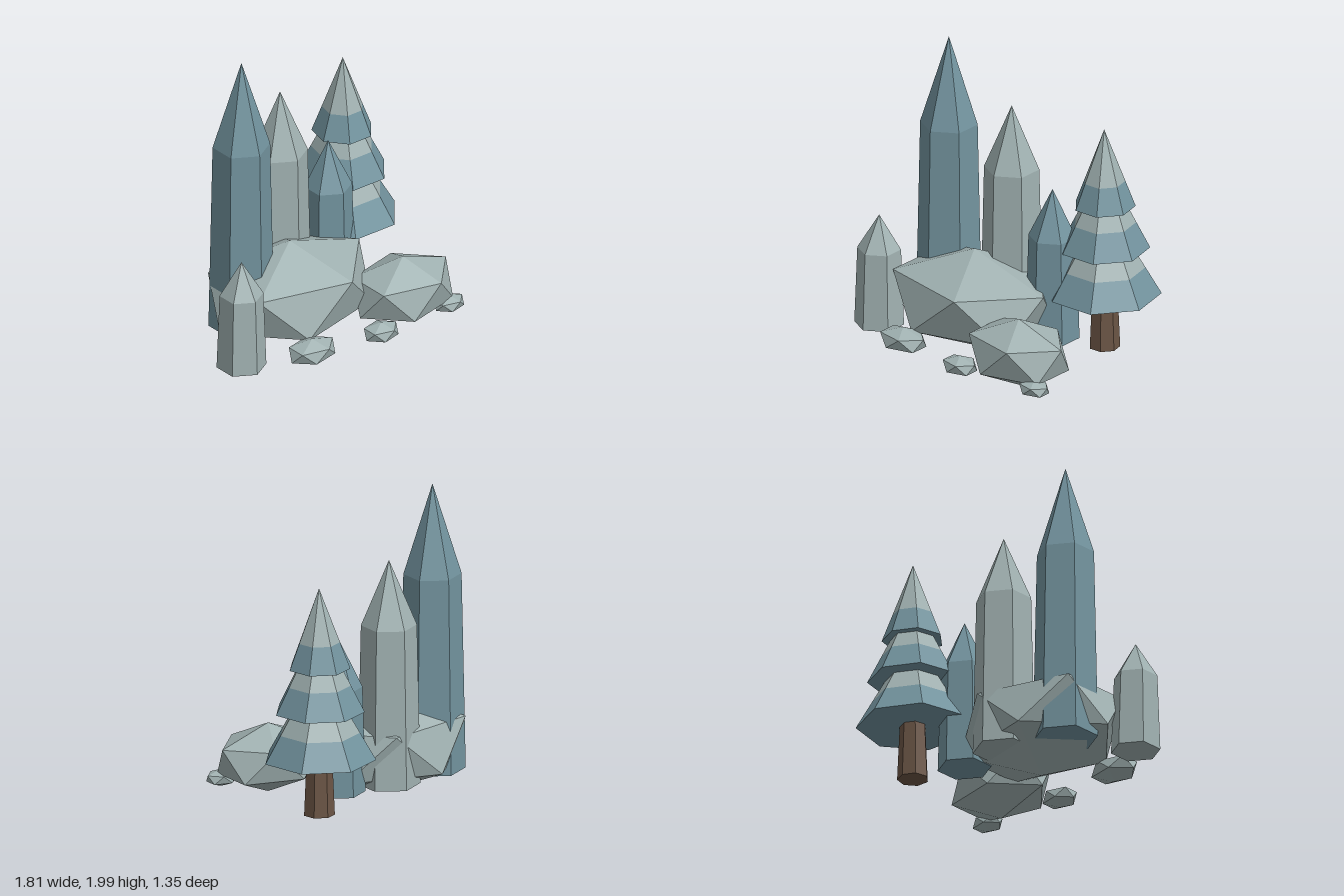
import * as THREE from 'three';

const flat = (name, color) => {
  const m = new THREE.MeshStandardMaterial({ color, flatShading: true });
  m.name = name;
  return m;
};

export function createModel() {
  const paleStone = flat('pale stone', 0xa1b2b2);
  const blueStone = flat('slate blue', 0x73949f);
  const bark = flat('bark brown', 0x6b5545);

  const model = new THREE.Group();
  model.name = 'rockGarden';

  const add = (parent, name, geometry, material, y = 0) => {
    const mesh = new THREE.Mesh(geometry, material);
    mesh.name = name;
    mesh.position.y = y;
    parent.add(mesh);
    return mesh;
  };

  const group = (name, x, z) => {
    const g = new THREE.Group();
    g.name = name;
    g.position.set(x, 0, z);
    model.add(g);
    return g;
  };

  // Boulders and pebbles: icosahedra stood on a corner and stretched
  const tilt = Math.atan(2 / (1 + Math.sqrt(5)));
  const rocks = [
    // name, centre x y z, radii x y z
    ['largeBoulder', -0.19, 0.34, 0.065, 0.626, 0.33, 0.485],
    ['smallBoulder', 0.45, 0.255, 0.402, 0.386, 0.225, 0.296],
    ['leftPebble', -0.385, 0.152, 0.53, 0.183, 0.083, 0.129],
    ['middlePebble', 0.125, 0.135, 0.588, 0.132, 0.066, 0.103],
    ['rightPebble', 0.7, 0.125, 0.553, 0.116, 0.056, 0.089],
  ];
  for (const [name, x, y, z, rx, ry, rz] of rocks) {
    const geometry = new THREE.IcosahedronGeometry(1, 0).rotateZ(-tilt).scale(rx, ry, rz);
    add(model, name, geometry, paleStone).position.set(x, y, z);
  }

  // Pillars: tapered six-sided shafts with pointed tips
  const pillars = [
    // name, x, z, base y, shoulder y, tip y, base radius, shoulder radius, material
    ['tallPillar', -0.49, -0.045, 0.135, 1.41, 2.0, 0.209, 0.183, blueStone],
    ['middlePillar', -0.08, -0.167, 0.135, 1.175, 1.6, 0.199, 0.176, paleStone],
    ['shortPillar', 0.28, -0.133, 0.135, 0.82, 1.14, 0.172, 0.153, blueStone],
    ['outerPillar', -0.77, 0.302, 0.08, 0.59, 0.82, 0.158, 0.139, paleStone],
  ];
  for (const [name, x, z, base, shoulder, tip, r0, r1, material] of pillars) {
    const g = group(name, x, z);
    const h = shoulder - base;
    add(g, 'shaft', new THREE.CylinderGeometry(r1, r0, h, 6), material, base + h / 2);
    const tipH = tip - shoulder;
    add(g, 'tip', new THREE.ConeGeometry(r1, tipH, 6, 1, true), material, shoulder + tipH / 2);
  }

  // Tree: seven-sided trunk and three cones, each blue below and pale above
  const tree = group('tree', 0.548, -0.318);
  tree.rotation.y = Math.PI;
  add(tree, 'trunk', new THREE.CylinderGeometry(0.078, 0.1, 0.5, 7), bark, 0.33);
  const tiers = [
    // base y, base radius, full height, height of the blue skirt
    [0.445, 0.36, 0.62, 0.175],
    [0.757, 0.288, 0.57, 0.172],
    [1.04, 0.197, 0.52, 0.17],
  ];
  for (const [base, r, h, skirt] of tiers) {
    const mid = r * (1 - skirt / h);
    add(tree, 'foliageSkirt', new THREE.CylinderGeometry(mid, r, skirt, 7), blueStone, base + skirt / 2);
    add(tree, 'foliageCap', new THREE.ConeGeometry(mid, h - skirt, 7, 1, true), paleStone, base + (h + skirt) / 2);
  }

  return model;
}
